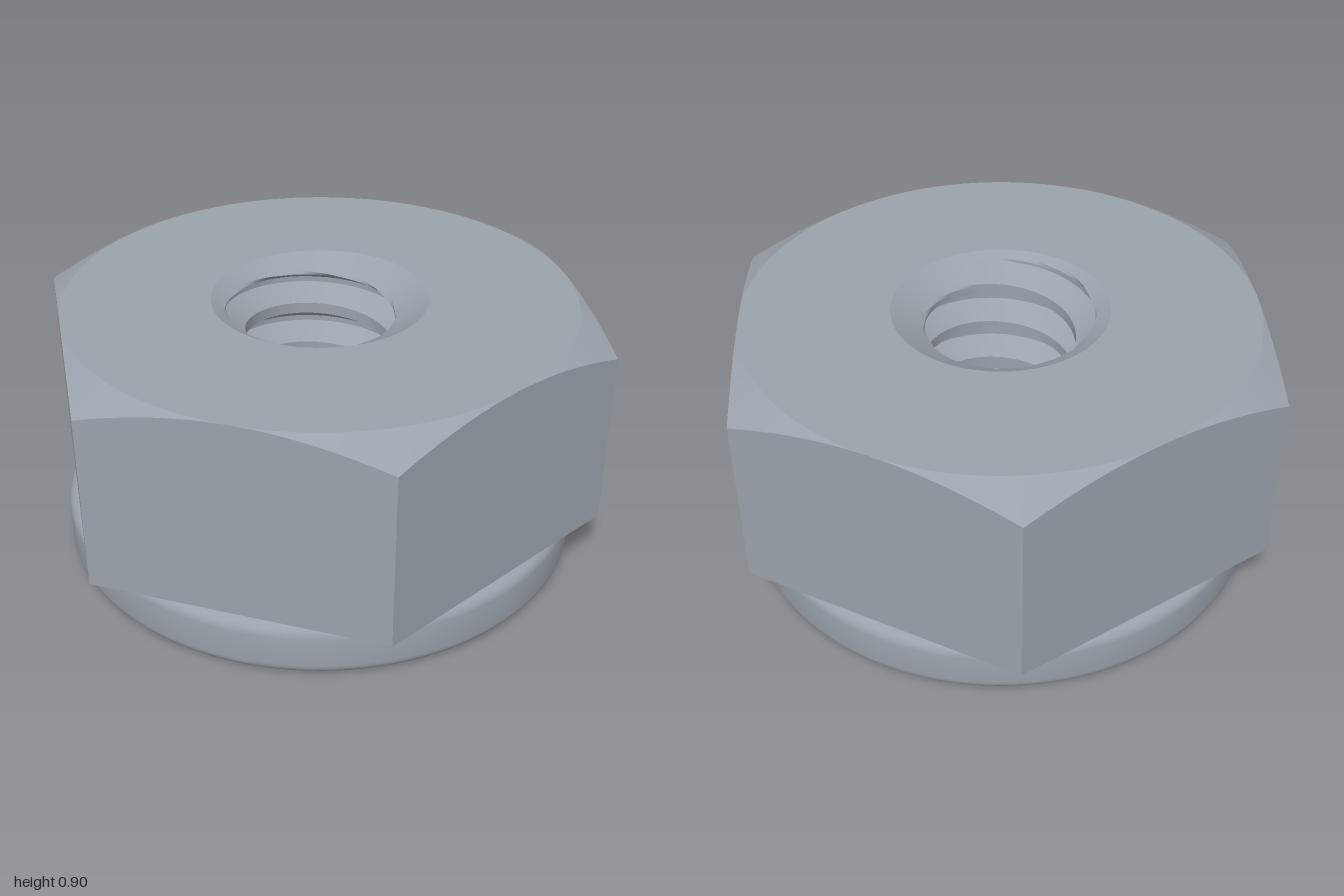
import * as THREE from 'three';
import { toCreasedNormals } from 'three/addons/utils/BufferGeometryUtils.js';

const STEPS = 120;                     // slices around the axis
const START = THREE.MathUtils.degToRad(12); // angle of the first hex corner
const HEIGHT = 0.9, SEAT = 0.195;      // nut top, washer top
const APOTHEM = 0.885, MOUTH = 0.375;  // hex half width, countersink radius
const MINOR = 0.26, MAJOR = 0.34, PITCH = 0.16;

// Skin a list of rings; each ring gives [radius, y] at an angle.
function skin(rings) {
  const point = (ring, j) => {
    const a = START + (j / STEPS) * Math.PI * 2;
    const [r, y] = ring(a);
    return new THREE.Vector3(r * Math.cos(a), y, r * Math.sin(a));
  };
  const grid = rings.map(ring => Array.from({ length: STEPS + 1 }, (_, j) => point(ring, j)));
  const positions = [];
  const addTriangle = (a, b, c) => {
    const area = b.clone().sub(a).cross(c.clone().sub(a)).length();
    if (area > 1e-8) for (const p of [a, b, c]) positions.push(p.x, p.y, p.z);
  };
  for (let i = 0; i < rings.length - 1; i++) {
    for (let j = 0; j < STEPS; j++) {
      const a = grid[i][j], b = grid[i + 1][j], c = grid[i + 1][j + 1], d = grid[i][j + 1];
      addTriangle(a, b, d);
      addTriangle(b, c, d);
    }
  }
  const geometry = new THREE.BufferGeometry();
  geometry.setAttribute('position', new THREE.Float32BufferAttribute(positions, 3));
  // Enlarged while finding creases, so that close vertices stay distinct
  geometry.scale(100, 100, 100);
  return toCreasedNormals(geometry, 0.4).scale(0.01, 0.01, 0.01);
}

const circle = (r, y) => () => [r, y];

// Hexagon radius at an angle
function hexRadius(a) {
  const sector = Math.PI / 3;
  const t = (((a - START) % sector) + sector) % sector;
  return APOTHEM / Math.cos(t - sector / 2);
}

// Hexagonal body whose top corners are cut by a 30 degree cone
function hexGeometry() {
  const slope = Math.tan(Math.PI / 6);
  return skin([
    circle(0.86, SEAT),
    a => [hexRadius(a), SEAT],
    a => [hexRadius(a), HEIGHT - (hexRadius(a) - APOTHEM) * slope],
    circle(APOTHEM, HEIGHT),
    circle(MOUTH, HEIGHT),
  ]);
}

// Round flange with filleted rims
function washerGeometry() {
  const outer = 0.918, fillet = 0.045, rings = [circle(MOUTH, 0)];
  for (const [y, from] of [[fillet, -Math.PI / 2], [SEAT - fillet, 0]]) {
    for (let i = 0; i <= 6; i++) {
      const t = from + (i / 6) * Math.PI / 2;
      rings.push(circle(outer - fillet + fillet * Math.cos(t), y + fillet * Math.sin(t)));
    }
  }
  rings.push(circle(0.86, SEAT));
  return skin(rings);
}

// Right-hand thread, opened by a shallow cone at both ends
function boreGeometry() {
  const rings = [], perTurn = 16;
  for (let m = 48; m >= -80; m--) {
    const phase = m / perTurn;
    const d = Math.abs(phase - Math.round(phase));
    const thread = THREE.MathUtils.clamp(
      THREE.MathUtils.mapLinear(d, 0.125, 0.4375, MINOR, MAJOR), MINOR, MAJOR);
    rings.push(a => {
      const raw = 0.684 + PITCH * ((Math.PI / 4 - a) / (Math.PI * 2) + phase);
      const y = THREE.MathUtils.clamp(raw, 0, HEIGHT);
      const cone = MOUTH - Math.min(y, HEIGHT - y) * Math.sqrt(3);
      return [y === raw ? Math.max(thread, cone) : MOUTH, y];
    });
  }
  return skin(rings);
}

export function createModel() {
  const steel = new THREE.MeshStandardMaterial({ color: 0x9aa2ab });
  steel.name = 'steel grey';
  const nut = new THREE.Group();
  nut.name = 'flangedHexNut';
  const parts = {
    hexBody: hexGeometry(),
    washerFlange: washerGeometry(),
    threadedBore: boreGeometry(),
  };
  for (const [name, geometry] of Object.entries(parts)) {
    const mesh = new THREE.Mesh(geometry, steel);
    mesh.name = name;
    nut.add(mesh);
  }
  return nut;
}
